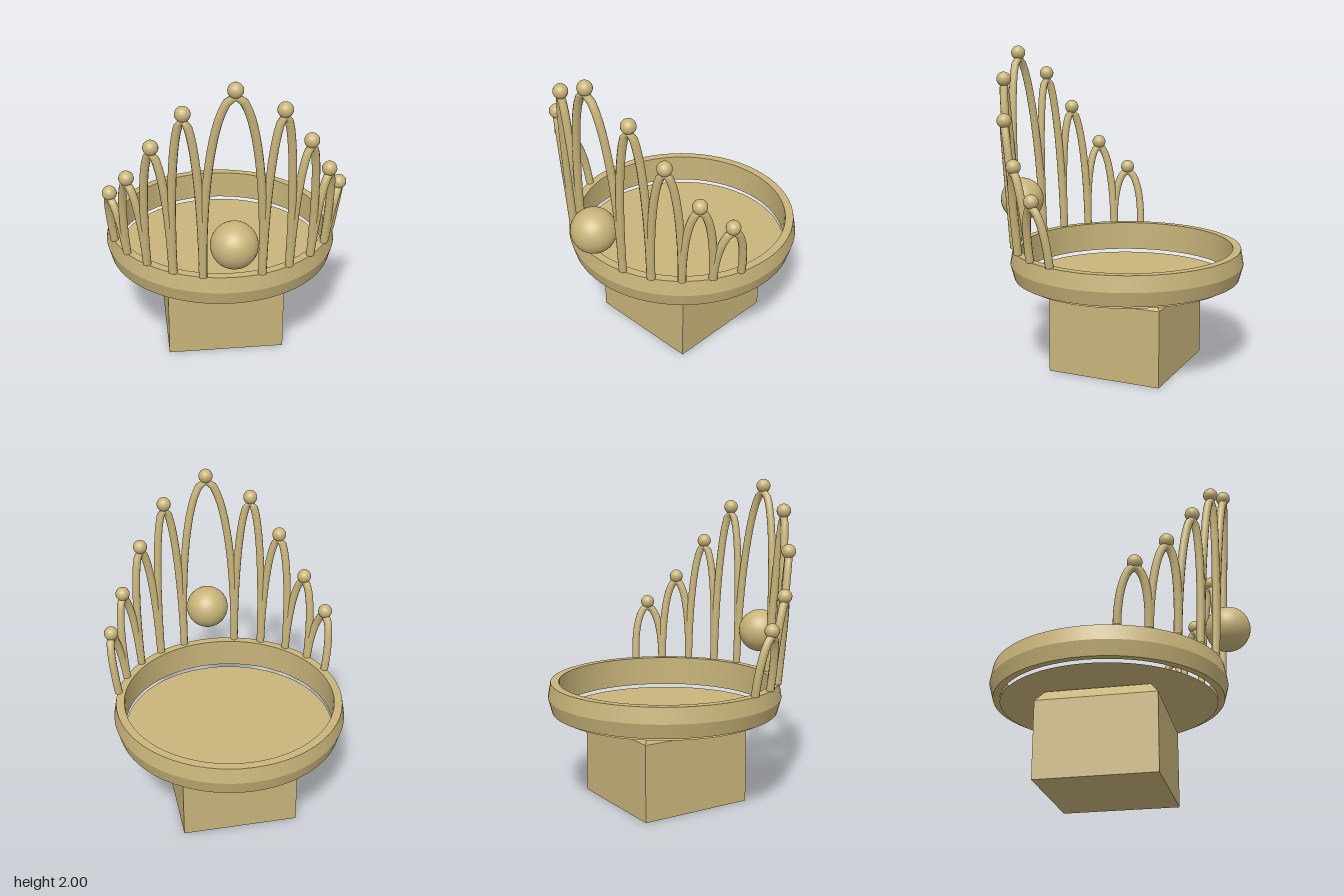
import * as THREE from 'three';

const CENTRE_Z = -0.075;

export function createModel() {
  const model = new THREE.Group();
  const gold = new THREE.MeshStandardMaterial({ color: 0xc8b47a });
  gold.name = 'pale gold';
  const goldDouble = gold.clone();
  goldDouble.side = THREE.DoubleSide;
  const goldFlat = gold.clone();
  goldFlat.flatShading = true;

  // everything sits around the vertical axis of the band
  const crown = new THREE.Group();
  crown.name = 'crown';
  crown.position.z = CENTRE_Z;
  model.add(crown);

  const add = (parent, name, geometry, material = gold, x = 0, y = 0, z = 0) => {
    const mesh = new THREE.Mesh(geometry, material);
    mesh.name = name;
    mesh.position.set(x, y, z);
    parent.add(mesh);
    return mesh;
  };

  // square base with a bevelled top
  const baseHalf = 0.368, topHalf = 0.317;
  add(crown, 'baseBlock', new THREE.BoxGeometry(baseHalf * 2, 0.48, baseHalf * 2), gold, 0, 0.24, 0);
  const bevel = new THREE.CylinderGeometry(topHalf * Math.SQRT2, baseHalf * Math.SQRT2, 0.07, 4);
  bevel.rotateY(Math.PI / 4);
  add(crown, 'baseBevel', bevel, goldFlat, 0, 0.515, 0);

  // thin floor disc just below the band
  const disc = new THREE.CircleGeometry(0.668, 64);
  disc.rotateX(-Math.PI / 2);
  add(crown, 'floorDisc', disc, goldDouble, 0, 0.556, 0);

  // band: one lathe per profile side keeps the edges crisp
  const band = new THREE.Group();
  band.name = 'band';
  crown.add(band);
  const profile = [[0.667, 0.578], [0.711, 0.578], [0.735, 0.668], [0.718, 0.765], [0.667, 0.765]];
  profile.forEach((p, i) => {
    const q = profile[(i + 1) % profile.length];
    const side = [new THREE.Vector2(...p), new THREE.Vector2(...q)];
    add(band, 'bandSide', new THREE.LatheGeometry(side, 64));
  });

  // arches lean outwards as they rise, each topped by a bead
  const FOOT_Y = 0.765, FOOT_R = 0.71, LEAN = 0.05;
  const deg = Math.PI / 180;
  const polar = (angle, r, y) => new THREE.Vector3(Math.sin(angle) * r, y, Math.cos(angle) * r);

  const addArch = (mid, half, beadY) => {
    const arch = new THREE.Group();
    arch.name = 'arch';
    crown.add(arch);
    const points = [];
    for (let i = 0; i <= 16; i++) {
      const t = Math.PI * i / 16;
      const h = Math.sin(t);
      points.push(polar(mid - half * Math.cos(t), FOOT_R + LEAN * h, FOOT_Y + (beadY - 0.035 - FOOT_Y) * h));
    }
    const path = new THREE.CatmullRomCurve3(points);
    add(arch, 'archTube', new THREE.TubeGeometry(path, 40, 0.025, 10), goldDouble);
    const p = polar(mid, FOOT_R + LEAN, beadY);
    add(arch, 'archBead', new THREE.SphereGeometry(0.045, 20, 14), gold, p.x, p.y, p.z);
  };

  addArch(0, 14.3 * deg, 1.956);
  [[21.7, 1.81], [36.8, 1.575], [51.7, 1.325], [66.8, 1.147]].forEach(([angle, y]) => {
    for (const s of [1, -1]) addArch(s * angle * deg, 7.4 * deg, y);
  });

  // large pearl at the front
  add(crown, 'frontPearl', new THREE.SphereGeometry(0.14, 32, 24), gold, 0, 1.005, 0.675 - CENTRE_Z);

  return model;
}
